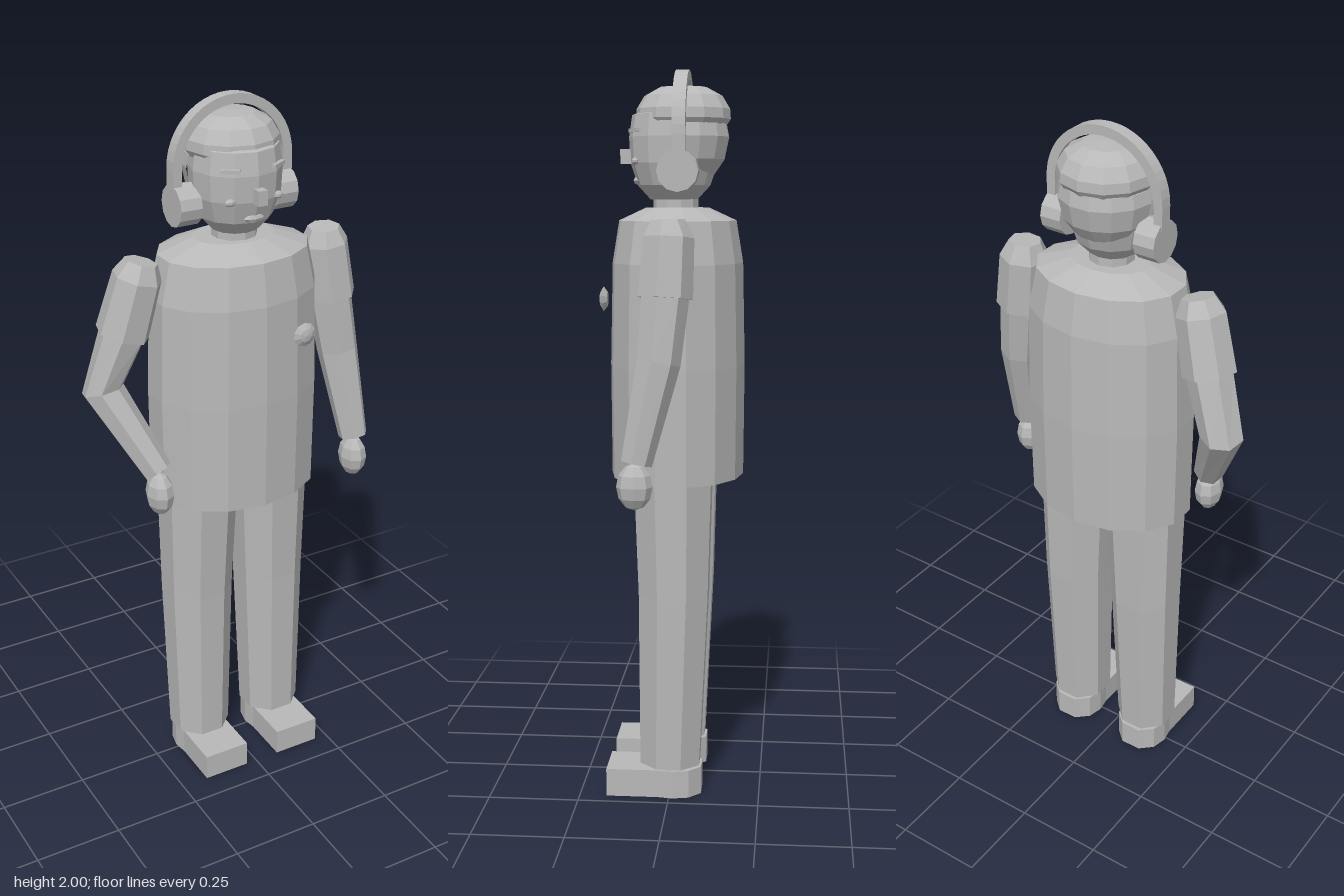
import * as THREE from 'three';

const V = (x, y, z) => new THREE.Vector3(x, y, z);

export function createModel() {
  const model = new THREE.Group();
  const grey = new THREE.MeshStandardMaterial({ color: 0xb8b8b8, flatShading: true });

  const add = (name, geometry, x = 0, y = 0, z = 0, parent = model) => {
    const mesh = new THREE.Mesh(geometry, grey);
    mesh.name = name;
    mesh.position.set(x, y, z);
    parent.add(mesh);
    return mesh;
  };

  // Faceted solid of revolution from [radius, y] pairs, lowest first
  const lathe = (profile, sides, start = 0, sweep = Math.PI * 2) =>
    new THREE.LatheGeometry(profile.map(p => new THREE.Vector2(...p)), sides, start, sweep);

  // Closed limb skinned over rings [centre, radius], running downwards
  const limb = (rings, sides) => {
    const pos = [], index = [], n = rings.length;
    rings.forEach(([c, r], i) => {
      const dir = rings[Math.min(i + 1, n - 1)][0].clone().sub(rings[Math.max(i - 1, 0)][0]).normalize();
      const q = new THREE.Quaternion().setFromUnitVectors(V(0, -1, 0), dir);
      for (let j = 0; j < sides; j++) {
        const a = (j + 0.5) / sides * Math.PI * 2;
        const p = V(Math.sin(a) * r, 0, Math.cos(a) * r).applyQuaternion(q).add(c);
        pos.push(p.x, p.y, p.z);
      }
    });
    for (let i = 0; i < n - 1; i++) for (let j = 0; j < sides; j++) {
      const a = i * sides + j, b = i * sides + (j + 1) % sides;
      index.push(a, a + sides, b, b, a + sides, b + sides);
    }
    const last = (n - 1) * sides;
    for (let j = 1; j < sides - 1; j++) {
      index.push(0, j, j + 1);
      index.push(last, last + j + 1, last + j);
    }
    const g = new THREE.BufferGeometry();
    g.setAttribute('position', new THREE.Float32BufferAttribute(pos, 3));
    g.setIndex(index);
    g.computeVertexNormals();
    return g;
  };

  // Long tunic, oval in plan
  const torso = add('torso', lathe([
    [0, 0.89], [0.245, 0.89], [0.248, 1.2], [0.24, 1.48], [0.215, 1.595], [0.115, 1.63], [0, 1.63],
  ], 14), 0.02, 0, -0.01);
  torso.scale.z = 0.755;

  // Chest badge
  const badge = add('badge', lathe([[0, -0.011], [0.02, -0.011], [0.034, 0], [0.018, 0.009], [0, 0.012]], 10), 0.13, 1.385, 0.183);
  badge.rotation.x = Math.PI / 2;

  // Neck and head
  add('neck', new THREE.CylinderGeometry(0.06, 0.063, 0.1, 10), 0.02, 1.655, -0.005);
  const head = new THREE.Group();
  head.name = 'head';
  head.position.x = 0.02;
  model.add(head);
  add('face', lathe([
    [0, 1.65], [0.065, 1.652], [0.1, 1.69], [0.12, 1.75], [0.124, 1.82], [0.115, 1.88], [0, 1.92],
  ], 12), 0, 0, 0, head);
  add('hairTop', lathe([
    [0, 1.85], [0.118, 1.85], [0.13, 1.868], [0.128, 1.895], [0.107, 1.93], [0.065, 1.953], [0, 1.957],
  ], 12), 0, 0, -0.025, head);
  add('hairBack', lathe([
    [0, 1.72], [0.09, 1.72], [0.118, 1.76], [0.131, 1.82], [0.124, 1.855], [0, 1.855],
  ], 7, Math.PI / 2, Math.PI), 0, 0, -0.022, head);

  // Facial features
  add('nose', new THREE.BoxGeometry(0.026, 0.04, 0.04), 0, 1.768, 0.127, head);
  for (const s of [-1, 1]) {
    const eye = add('eye', new THREE.SphereGeometry(0.016, 8, 5), s * 0.07, 1.754, 0.1, head);
    eye.scale.set(1, 0.65, 0.6);
    const brow = add('brow', new THREE.BoxGeometry(0.05, 0.01, 0.012), s * 0.07, 1.836, 0.102, head);
    brow.rotation.y = s * 0.55;
  }
  const mouth = add('mouth', new THREE.SphereGeometry(0.03, 8, 4), 0, 1.703, 0.1, head);
  mouth.scale.set(1, 0.4, 0.4);

  // Headphones: arched band and two round cups
  const arch = new THREE.Shape();
  arch.moveTo(0.177, -0.06);
  arch.lineTo(0.177, 0);
  arch.absarc(0, 0, 0.177, 0, Math.PI, false);
  arch.lineTo(-0.177, -0.06);
  arch.lineTo(-0.151, -0.06);
  arch.absarc(0, 0, 0.151, Math.PI, 0, true);
  arch.lineTo(0.151, -0.06);
  add('headband', new THREE.ExtrudeGeometry(arch, { depth: 0.036, bevelEnabled: false, curveSegments: 12 }),
    0, 1.823, -0.043, head);
  for (const s of [-1, 1]) {
    const cup = add('earCup', new THREE.CylinderGeometry(0.056, 0.056, 0.062, 12), s * 0.144, 1.727, -0.022, head);
    cup.rotation.z = Math.PI / 2;
  }

  // Arms: sleeve, bare arm and hand
  const arms = [
    { name: 'rightArm', top: V(-0.25, 1.598, -0.012), shoulder: V(-0.262, 1.555, -0.015), cuff: V(-0.303, 1.4, -0.03),
      elbow: V(-0.358, 1.24, -0.05), wrist: V(-0.256, 1.02, 0.065), hand: V(-0.255, 0.955, 0.073) },
    { name: 'leftArm', top: V(0.303, 1.6, -0.006), shoulder: V(0.306, 1.555, -0.008), cuff: V(0.324, 1.4, 0),
      elbow: V(0.348, 1.235, 0.015), wrist: V(0.376, 0.975, 0.07), hand: V(0.373, 0.913, 0.075) },
  ];
  for (const a of arms) {
    const arm = new THREE.Group();
    arm.name = a.name;
    model.add(arm);
    add('sleeve', limb([[a.top, 0.045], [a.shoulder, 0.068], [a.cuff, 0.074]], 7), 0, 0, 0, arm);
    add('bareArm', limb([[a.shoulder, 0.055], [a.cuff, 0.064], [a.elbow, 0.059], [a.wrist, 0.042]], 7), 0, 0, 0, arm);
    const hand = add('hand', new THREE.SphereGeometry(0.04, 8, 6), a.hand.x, a.hand.y, a.hand.z, arm);
    hand.scale.set(0.95, 1.55, 1.2);
  }

  // Sole outline with a rounded heel
  const sole = new THREE.Shape([
    [-0.069, -0.175], [0.069, -0.175], [0.069, -0.03], [0.076, 0.01], [0.066, 0.055], [0.03, 0.088],
    [-0.03, 0.088], [-0.066, 0.055], [-0.076, 0.01], [-0.069, -0.03],
  ].map(p => new THREE.Vector2(...p)));

  // Legs and shoes
  for (const [name, top, knee, foot] of [['right', -0.095, -0.1, -0.102], ['left', 0.133, 0.139, 0.142]]) {
    add(name + 'Leg', limb([
      [V(top, 0.93, -0.008), 0.115], [V(knee, 0.57, -0.01), 0.103], [V(foot, 0.085, 0), 0.089],
    ], 8));
    const shoe = add(name + 'Shoe', new THREE.ExtrudeGeometry(sole, { depth: 0.078, bevelEnabled: false }), foot, 0, 0);
    shoe.rotation.x = -Math.PI / 2;
    add(name + 'Ankle', new THREE.CylinderGeometry(0.07, 0.07, 0.05, 8), foot, 0.085, 0);
  }

  return model;
}
